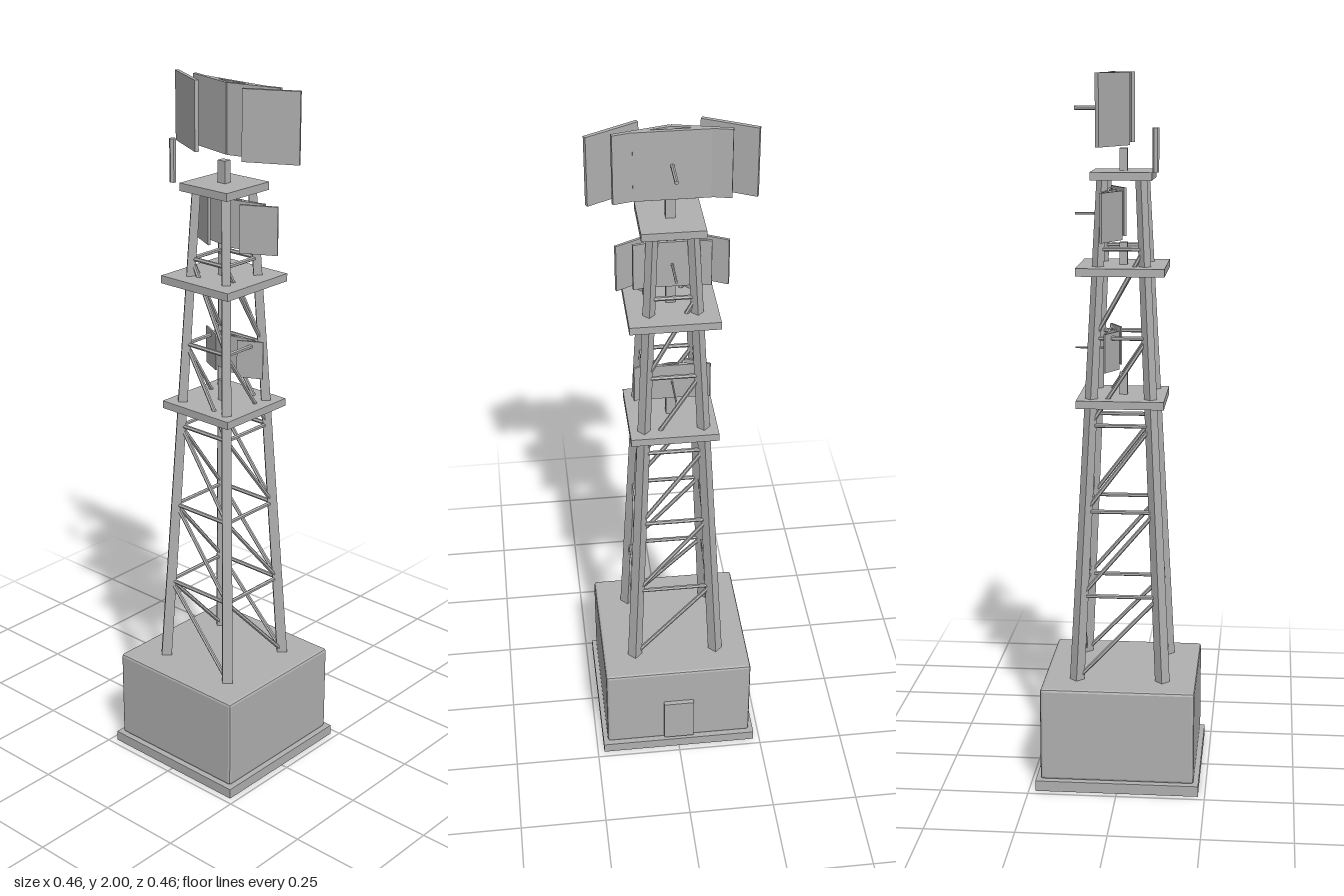
import * as THREE from 'three';
import { RoundedBoxGeometry } from 'three/addons/geometries/RoundedBoxGeometry.js';

const V = (x, y, z) => new THREE.Vector3(x, y, z);

export function createModel() {
  const grey = new THREE.MeshStandardMaterial({ color: 0xb0b0b0 });
  grey.name = 'plain grey';
  const model = new THREE.Group();
  model.name = 'radarTower';

  // Faceted mesh
  const add = (name, geometry, parent = model) => {
    const flat = geometry.index ? geometry.toNonIndexed() : geometry;
    flat.computeVertexNormals();
    const mesh = new THREE.Mesh(flat, grey);
    mesh.name = name;
    parent.add(mesh);
    return mesh;
  };
  const group = (name) => {
    const g = new THREE.Group();
    g.name = name;
    model.add(g);
    return g;
  };
  const box = (name, w, h, d, x, y, z, parent) => {
    const mesh = add(name, new THREE.BoxGeometry(w, h, d), parent);
    mesh.position.set(x, y, z);
    return mesh;
  };
  // Straight bar from a to b
  const beam = (name, a, b, ra, rb, sides, parent) => {
    const dir = b.clone().sub(a);
    const mesh = add(name, new THREE.CylinderGeometry(rb, ra, dir.length(), sides), parent);
    mesh.position.copy(a).add(b).multiplyScalar(0.5);
    mesh.quaternion.setFromUnitVectors(V(0, 1, 0), dir.normalize());
    return mesh;
  };

  // Hut at the bottom
  box('foundation', 0.462, 0.03, 0.462, 0, 0.015, 0);
  add('hut', new RoundedBoxGeometry(0.436, 0.27, 0.436, 1, 0.008)).position.set(0, 0.165, 0);
  box('door', 0.09, 0.14, 0.018, 0, 0.112, -0.223);

  // Tapering legs
  const y0 = 0.3, y1 = 1.72;
  const spread = (y) => THREE.MathUtils.lerp(0.122, 0.053, (y - y0) / (y1 - y0));
  const legs = group('legs');
  for (const sx of [-1, 1]) for (const sz of [-1, 1]) {
    const at = (y) => V(sx * spread(y), y, sz * spread(y));
    beam('leg', at(y0 - 0.005), at(y1), 0.021, 0.016, 4, legs);
  }

  // Lattice: one rail and one diagonal per bay on every side
  const lattice = group('lattice');
  const bay = 0.245;
  for (let i = 0; i < 5; i++) {
    const low = y0 + i * bay, high = low + bay;
    const a = spread(low), b = spread(high);
    for (const s of [-1, 1]) {
      beam('rail', V(-b, high, s * b), V(b, high, s * b), 0.006, 0.006, 6, lattice);
      beam('rail', V(s * b, high, -b), V(s * b, high, b), 0.006, 0.006, 6, lattice);
      beam('diagonal', V(a, low, s * a), V(-b, high, s * b), 0.006, 0.006, 6, lattice);
      beam('diagonal', V(s * a, low, -a), V(s * b, high, b), 0.006, 0.006, 6, lattice);
    }
  }

  // Platforms
  box('lowerPlatform', 0.244, 0.022, 0.244, 0, 1.1, 0);
  box('middlePlatform', 0.244, 0.022, 0.244, 0, 1.467, 0);
  box('topPlatform', 0.17, 0.022, 0.17, 0, 1.724, 0);

  // Antenna arrays: angled panels, back plate, rear rod and mast
  const array = (name, y, h, s, dz, mastBase) => {
    const g = group(name);
    const panel = (part, x0, z0, x1, z1) => {
      const length = Math.hypot(x1 - x0, z1 - z0) * s;
      const mesh = box(part, length, h, 0.011 * s, s * (x0 + x1) / 2, y, dz + s * (z0 + z1) / 2, g);
      mesh.rotation.y = -Math.atan2(z1 - z0, x1 - x0);
    };
    for (const m of [-1, 1]) {
      panel('innerPanel', m * 0.153, -0.05, 0, -0.014);
      panel('outerPanel', m * 0.219, -0.051, m * 0.081, 0.02);
    }
    box('backPlate', 0.2 * s, h, 0.011 * s, 0, y, dz - 0.039 * s, g);
    beam('rearRod', V(0, y, dz - 0.04 * s), V(0, y, -0.135), 0.0055 * s, 0.0055 * s, 6, g);
    const mastHeight = 0.062;
    box('mast', 0.026, mastHeight, 0.022, 0, mastBase + mastHeight / 2, 0.001, g);
  };
  array('topArray', 1.904, 0.192, 1, 0, 1.734);
  array('middleArray', 1.617, 0.134, 0.68, -0.014, 1.477);
  array('lowerArray', 1.241, 0.108, 0.48, -0.019, 1.11);

  // Small whip aerial
  beam('whipAerial', V(-0.098, 1.737, 0.096), V(-0.098, 1.855, 0.096), 0.009, 0.009, 6);

  return model;
}
